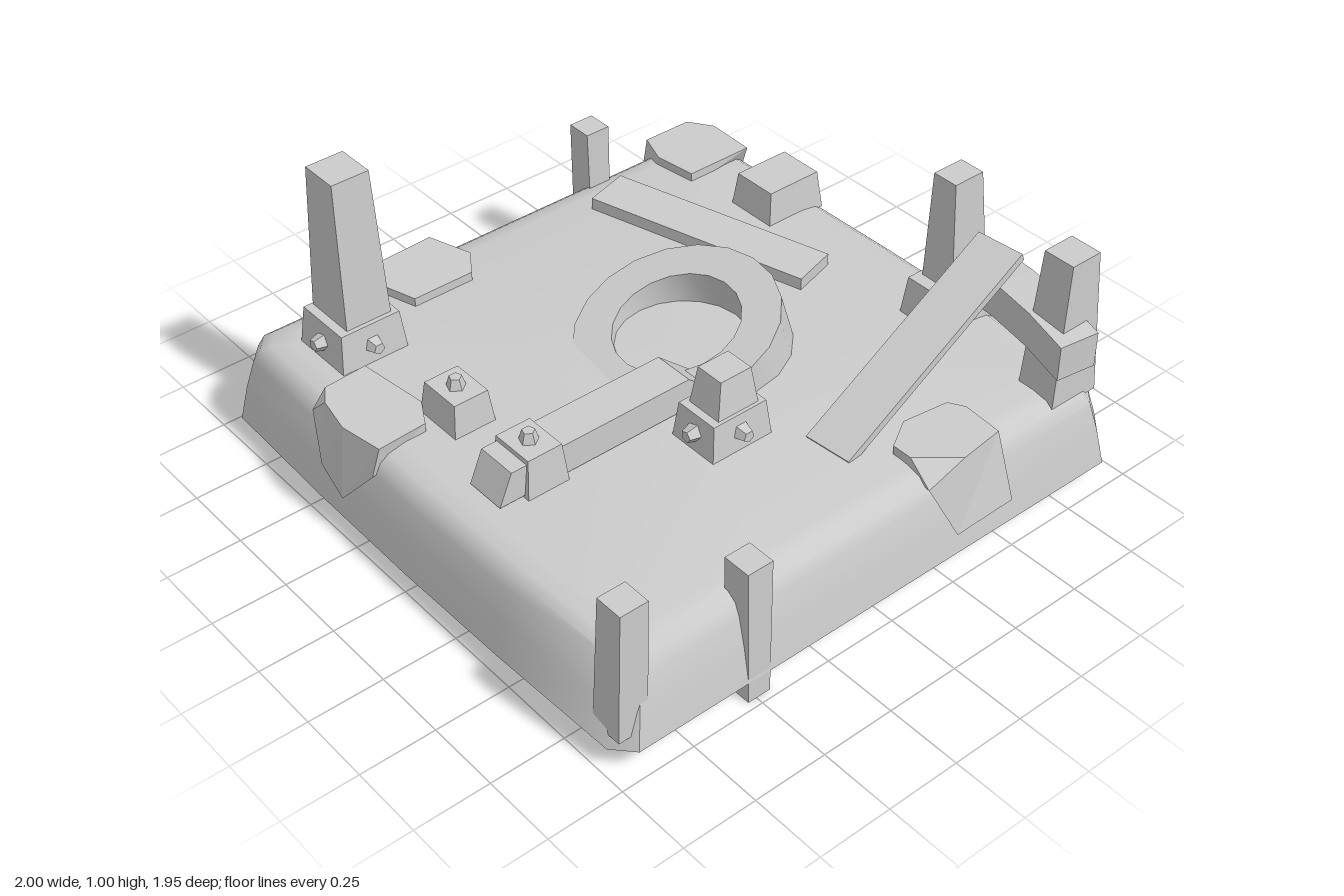
import * as THREE from 'three';
import { toCreasedNormals } from 'three/addons/utils/BufferGeometryUtils.js';

const grey = new THREE.MeshStandardMaterial({ color: 0xcccccc });
const flat = new THREE.MeshStandardMaterial({ color: 0xcccccc, flatShading: true });
const DECK = 0.37;

function add(parent, name, geometry, material = flat) {
  const mesh = new THREE.Mesh(geometry, material);
  mesh.name = name;
  parent.add(mesh);
  return mesh;
}

// Closed solid through rings of [x, y, z] points, listed from bottom to top
function loft(rings) {
  const n = rings[0].length;
  const area = rings[0].reduce((s, p, i) => {
    const q = rings[0][(i + 1) % n];
    return s + p[2] * q[0] - p[0] * q[2];
  }, 0);
  if (area < 0) rings = rings.map((r) => [...r].reverse());
  const out = [];
  for (let k = 0; k + 1 < rings.length; k++) {
    for (let i = 0; i < n; i++) {
      const j = (i + 1) % n, lo = rings[k], hi = rings[k + 1];
      out.push(...lo[i], ...lo[j], ...hi[j], ...lo[i], ...hi[j], ...hi[i]);
    }
  }
  const mid = (r) => [0, 1, 2].map((a) => r.reduce((s, p) => s + p[a], 0) / n);
  const bottom = rings[0], top = rings[rings.length - 1];
  const cb = mid(bottom), ct = mid(top);
  for (let i = 0; i < n; i++) {
    const j = (i + 1) % n;
    out.push(...cb, ...bottom[j], ...bottom[i], ...ct, ...top[i], ...top[j]);
  }
  const g = new THREE.BufferGeometry();
  g.setAttribute('position', new THREE.Float32BufferAttribute(out, 3));
  g.computeVertexNormals();
  return g;
}

// Tapered block between two rectangles given as [x0, x1, z0, z1]
function block(parent, name, y0, a, y1, b) {
  const rect = ([x0, x1, z0, z1], y) => [[x0, y, z1], [x1, y, z1], [x1, y, z0], [x0, y, z0]];
  return add(parent, name, loft([rect(a, y0), rect(b, y1)]));
}

// Five-sided bolt head pointing along a direction
function bolt(parent, x, y, z, dx, dy, dz) {
  const m = add(parent, 'bolt', new THREE.CylinderGeometry(0.02, 0.035, 0.05, 5));
  m.position.set(x, y, z);
  m.quaternion.setFromUnitVectors(new THREE.Vector3(0, 1, 0), new THREE.Vector3(dx, dy, dz));
}

// Bolted foot; sides lists the horizontal directions that carry a bolt
function foot(parent, name, x0, x1, z0, z1, top, sides, topBolt = false) {
  const g = new THREE.Group();
  g.name = name;
  parent.add(g);
  const t = 0.015;
  block(g, 'footBlock', DECK - 0.02, [x0, x1, z0, z1], top, [x0 + t, x1 - t, z0 + t, z1 - t]);
  const cx = (x0 + x1) / 2, cz = (z0 + z1) / 2;
  for (const [dx, dz] of sides) {
    bolt(g, cx + dx * (x1 - x0) / 2, 0.43, cz + dz * (z1 - z0) / 2, dx, 0, dz);
  }
  if (topBolt) bolt(g, cx, top + 0.01, cz, 0, 1, 0);
  return g;
}

// Patch plate: [x, z, lowerX, lowerY, lowerZ]; lower points are optional
function plate(parent, name, pts) {
  const lower = pts.map(([x, z, lx = x, ly = 0.35, lz = z]) => [lx, ly, lz]);
  add(parent, name, loft([lower, pts.map(([x, z]) => [x, 0.4, z])]));
}

// Rounded, slightly bowed slab with clipped corners
function buildBase(g) {
  const ring = (y, inset) => {
    const quarter = [[1, 0], [0.995, 0.45], [0.98, 0.91], [0.92, 0.975], [0.45, 0.975], [0, 0.975]];
    const half = [...quarter, ...quarter.slice(0, -1).reverse().map(([x, z]) => [-x, z])];
    const full = [...half, ...half.slice(1, -1).reverse().map(([x, z]) => [x, -z])];
    return full.map(([x, z]) => [x * (1 - inset), y, z * (1 - inset)]);
  };
  const rings = [[0.075, 0], [0.2, 0.022], [0.3, 0.045], [0.34, 0.062], [0.361, 0.092], [DECK, 0.15]];
  add(g, 'base', toCreasedNormals(loft(rings.map((r) => ring(...r))), 0.75), grey);
}

export function createModel() {
  const g = new THREE.Group();
  g.name = 'damagedPlatform';
  buildBase(g);

  // Tilted ring sunk into the deck
  const profile = [[0.205, -0.2], [0.33, -0.2], [0.33, 0], [0.205, 0], [0.205, -0.2]];
  const lathe = new THREE.LatheGeometry(profile.map((p) => new THREE.Vector2(...p)), 20);
  const ring = add(g, 'tiltedRing', toCreasedNormals(lathe, 0.6), grey);
  ring.position.set(0.06, 0.45, -0.03);
  ring.rotation.set(-0.04, 0, 0.29);

  // Tall pillar on its bolted foot
  foot(g, 'tallPillarFoot', -0.81, -0.57, -0.785, -0.55, 0.5, [[-1, 0], [0, -1], [0, 1]]);
  block(g, 'tallPillar', 0.49, [-0.765, -0.605, -0.765, -0.58], 1, [-0.75, -0.62, -0.745, -0.61]);

  // Small feet, stub and crossbar
  foot(g, 'smallFoot', -0.73, -0.58, -0.27, -0.09, 0.48, [], true);
  foot(g, 'barClamp', -0.73, -0.58, 0.08, 0.26, 0.5, [], true);
  block(g, 'deckBar', 0.38, [-0.815, 0, 0.1, 0.24], 0.485, [-0.77, -0.12, 0.1, 0.24]);
  foot(g, 'stubFoot', -0.23, 0, 0.29, 0.475, 0.49, [[-1, 0], [0, 1]]);
  block(g, 'stub', 0.48, [-0.19, -0.035, 0.32, 0.45], 0.61, [-0.165, -0.05, 0.33, 0.43]);
  foot(g, 'emptyFoot', 0.7, 0.935, -0.5, -0.31, 0.485, []);

  // Broken gate: two posts joined by an arched rail
  foot(g, 'rearGateFoot', 0.7, 0.93, 0.29, 0.475, 0.5, [[1, 0], [0, 1]]);
  block(g, 'rearGatePost', 0.48, [0.76, 0.91, 0.32, 0.45], 0.89, [0.75, 0.865, 0.345, 0.435]);
  block(g, 'frontGatePost', 0.33, [0.725, 0.915, 0.77, 0.91], 0.845, [0.755, 0.87, 0.79, 0.9]);
  const L = 0.64;
  const railGeo = new THREE.BoxGeometry(0.14, 0.12, L, 1, 1, 4);
  const pos = railGeo.attributes.position;
  for (let i = 0; i < pos.count; i++) {
    const arch = 1 - (2 * pos.getZ(i) / L) ** 2;
    pos.setXYZ(i, pos.getX(i) + 0.015 * arch, pos.getY(i) + 0.025 * arch, pos.getZ(i));
  }
  const rail = add(g, 'gateRail', railGeo);
  rail.position.set(0.805, 0.55, 0.635);
  rail.rotation.y = -0.14;

  // Loose planks
  const leaning = add(g, 'leaningPlank', new THREE.BoxGeometry(0.83, 0.028, 0.165));
  leaning.position.set(0.445, 0.54, 0.605);
  leaning.rotation.set(0, 0.085, 0.44, 'YXZ');
  const lying = add(g, 'lyingPlank', new THREE.BoxGeometry(0.165, 0.05, 0.81));
  lying.position.set(0.51, 0.387, -0.4);
  lying.rotation.y = 0.275;

  // Short edge posts
  block(g, 'leftCornerPost', 0.12, [-0.97, -0.87, 0.84, 0.95], 0.57, [-0.955, -0.86, 0.85, 0.945]);
  block(g, 'frontEdgePost', 0, [-0.53, -0.45, 0.87, 0.975], 0.475, [-0.535, -0.445, 0.87, 0.965]);
  block(g, 'backEdgePost', 0.12, [0.4, 0.48, -0.97, -0.87], 0.57, [0.395, 0.485, -0.97, -0.88]);

  // Patch plates folded over the edges
  plate(g, 'frontPlate', [
    [0.2, 0.77], [0.3, 0.71], [0.46, 0.73], [0.49, 0.78, 0.5, 0.3, 0.8],
    [0.48, 0.92, 0.515, 0.15, 0.97], [0.32, 0.94, 0.28, 0.15, 0.975], [0.2, 0.84, 0.19, 0.34, 0.93],
  ]);
  plate(g, 'leftPlate', [
    [-0.75, -0.52], [-0.72, -0.27], [-0.77, -0.18], [-0.94, -0.17, -0.965, 0.3, -0.18],
    [-0.965, -0.32, -0.99, 0.14, -0.32], [-0.94, -0.45, -0.985, 0.2, -0.43], [-0.9, -0.51, -0.95, 0.34, -0.51],
  ]);
  plate(g, 'backPlate', [
    [-0.22, -0.7], [-0.44, -0.7], [-0.48, -0.83], [-0.43, -0.935, -0.44, 0.25, -0.965],
    [-0.21, -0.945, -0.19, 0.25, -0.965], [-0.16, -0.79],
  ]);
  plate(g, 'cornerPlate', [
    [0.68, -0.68], [0.66, -0.83], [0.7, -0.94, 0.68, 0.16, -0.965], [0.88, -0.94, 0.88, 0.18, -0.96],
    [0.935, -0.86, 0.955, 0.3, -0.84], [0.93, -0.68, 0.96, 0.28, -0.74],
  ]);
  return g;
}
